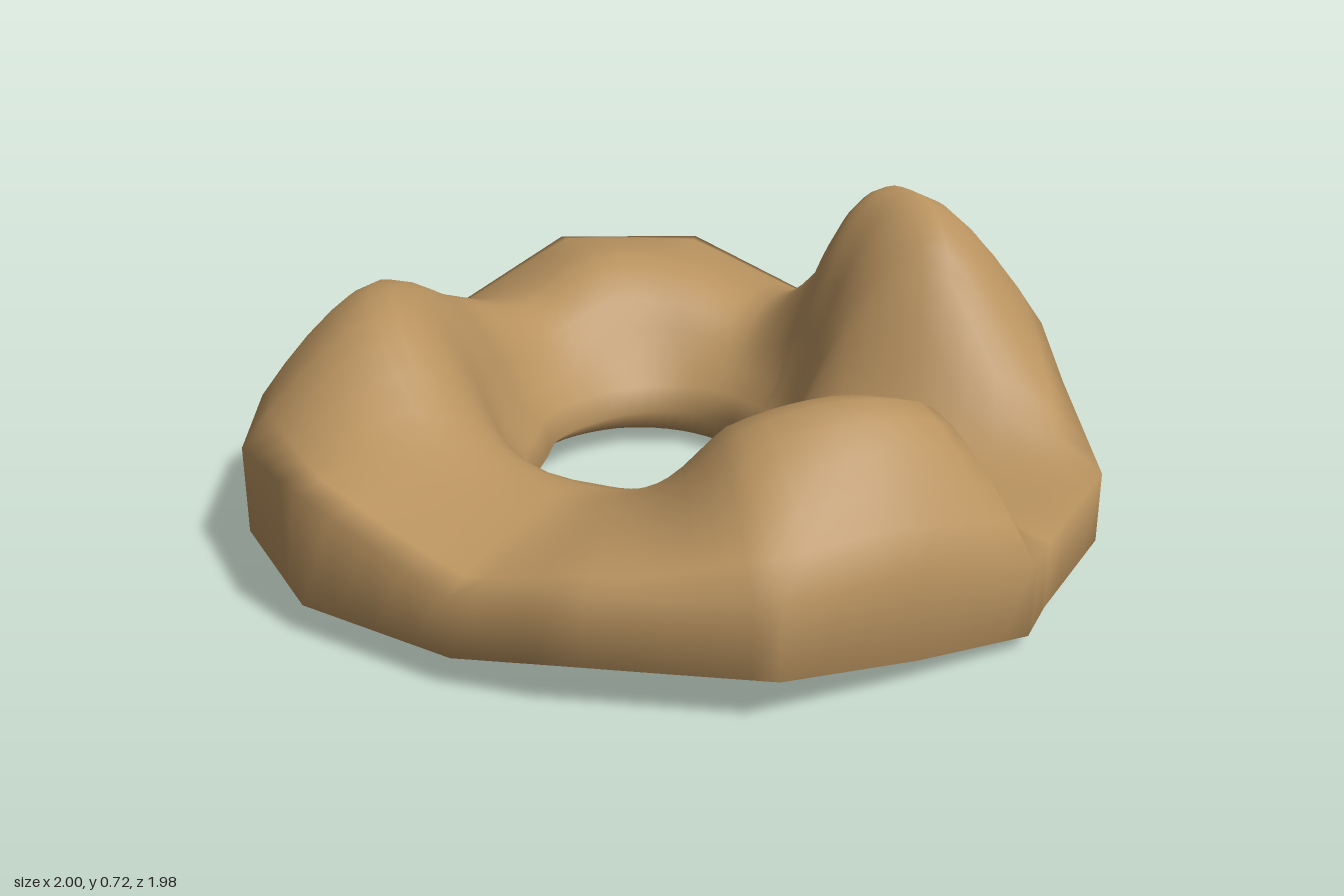
import * as THREE from 'three';

// Key sections around the ring:
// outer x, outer z, base y, wall top y, crest radius, crest y, hole radius
const SECTIONS = [
  [1, -0.08, 0.03, 0.19, 0.74, 0.45, 0.22],
  [0.95, 0.2, 0.06, 0.25, 0.72, 0.51, 0.22],
  [0.88, 0.5, 0.1, 0.26, 0.68, 0.46, 0.26],
  [0.72, 0.64, 0.1, 0.25, 0.64, 0.32, 0.3],
  [0.57, 0.77, 0.1, 0.25, 0.63, 0.26, 0.33],
  [0.37, 0.88, 0.07, 0.2, 0.64, 0.25, 0.33],
  [0, 0.99, 0.07, 0.32, 0.66, 0.35, 0.35],
  [-0.38, 0.91, 0.07, 0.27, 0.68, 0.54, 0.33],
  [-0.71, 0.69, 0.07, 0.24, 0.68, 0.54, 0.3],
  [-0.92, 0.38, 0.07, 0.21, 0.65, 0.43, 0.31],
  [-1, 0, 0.07, 0.21, 0.62, 0.36, 0.31],
  [-0.92, -0.38, 0.07, 0.39, 0.66, 0.44, 0.32],
  [-0.7, -0.7, 0.07, 0.38, 0.65, 0.41, 0.32],
  [-0.38, -0.9, 0.07, 0.22, 0.62, 0.34, 0.3],
  [0, -0.99, 0.07, 0.35, 0.58, 0.51, 0.27],
  [0.19, -0.955, 0.07, 0.35, 0.58, 0.69, 0.26],
  [0.37, -0.92, 0.07, 0.34, 0.6, 0.72, 0.25],
  [0.5, -0.79, 0.07, 0.33, 0.62, 0.69, 0.23],
  [0.63, -0.66, 0.07, 0.32, 0.63, 0.58, 0.22],
  [0.88, -0.47, 0.07, 0.23, 0.6, 0.27, 0.23],
  [0.97, -0.17, 0.05, 0.2, 0.6, 0.24, 0.22],
];
const STEPS = 4;

// Straight interpolation keeps the polygonal outline, a spline smooths the crest and hole
function sectionAt(k) {
  const n = SECTIONS.length, i = Math.floor(k), t = k - i;
  const [a, b, c, d] = [-1, 0, 1, 2].map((o) => SECTIONS[(i + o + n) % n]);
  return b.map((v, j) => {
    if (j < 4) return v + (c[j] - v) * t;
    return v + 0.5 * t * (c[j] - a[j] + t * (2 * a[j] - 5 * v + 4 * c[j] - d[j] + t * (3 * (v - c[j]) + d[j] - a[j])));
  });
}

// Closed cross-section: wall, outer slope, crest, inner slope, hole wall, underside
function ringProfile([ox, oz, base, wall, crestR, crestY, hole], angle) {
  const ro = Math.hypot(ox, oz), points = [[ro, base], [ro, wall]];
  for (let i = 1; i <= 5; i++) {
    const t = i / 5;
    points.push([ro + (crestR - ro) * t, wall + (crestY - wall) * (1 - (1 - t) ** 1.45)]);
  }
  // The inner slope is gentler on the +x side
  const shoulderR = hole + 0.07, shoulderY = 0.21;
  const fullness = 2.5 - 0.9 * Math.max(0, Math.cos(angle));
  for (let i = 1; i <= 6; i++) {
    const t = i / 6;
    points.push([crestR + (shoulderR - crestR) * t, shoulderY + (crestY - shoulderY) * (1 - t ** fullness)]);
  }
  // The underside sags towards the back left
  const sag = Math.cos(angle + 0.9);
  const lip = 0.04 - 0.04 * sag, ceiling = 0.085 - 0.05 * sag;
  points.push([hole + 0.025, 0.16], [hole, 0.1], [hole + 0.03, lip]);
  points.push([hole + 0.14, ceiling], [0.7, ceiling + 0.01], [ro - 0.05, base + 0.025 - 0.025 * sag]);
  return points;
}

// Skin the closed cross-sections into one closed ring
function ringGeometry() {
  const count = SECTIONS.length * STEPS, positions = [], index = [];
  let m = 0;
  for (let i = 0; i < count; i++) {
    const s = sectionAt(i / STEPS), angle = Math.atan2(s[1], s[0]);
    const points = ringProfile(s, angle);
    m = points.length;
    for (const [r, y] of points) positions.push(r * Math.cos(angle), y, r * Math.sin(angle));
  }
  for (let i = 0; i < count; i++) {
    const row = i * m, next = ((i + 1) % count) * m;
    for (let j = 0; j < m; j++) {
      const k = (j + 1) % m;
      index.push(row + j, row + k, next + j, row + k, next + k, next + j);
    }
  }
  const geometry = new THREE.BufferGeometry();
  geometry.setAttribute('position', new THREE.Float32BufferAttribute(positions, 3));
  geometry.setIndex(index);
  geometry.computeVertexNormals();
  return geometry;
}

export function createModel() {
  const group = new THREE.Group();
  group.name = 'mountainRing';
  const mesh = new THREE.Mesh(ringGeometry(), new THREE.MeshStandardMaterial({ color: 0xb8925f }));
  mesh.name = 'mountains';
  group.add(mesh);
  return group;
}
